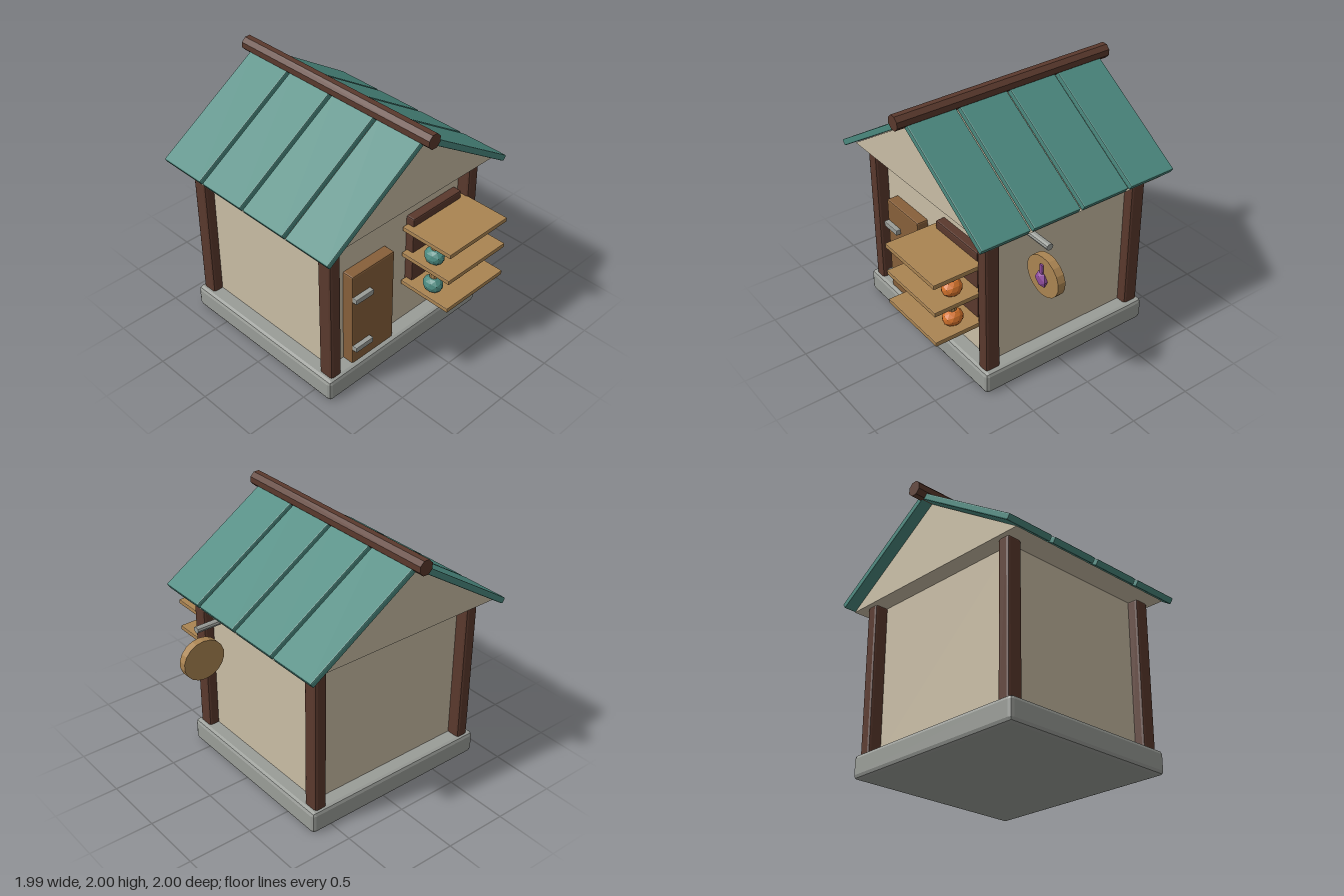
import * as THREE from 'three';
import { RoundedBoxGeometry } from 'three/addons/geometries/RoundedBoxGeometry.js';

const paint = (name, color) => {
  const m = new THREE.MeshStandardMaterial({ color, flatShading: true });
  m.name = name;
  return m;
};

export function createModel() {
  const house = new THREE.Group();
  house.name = 'potionShop';

  const plaster = paint('plaster', 0xc9bda5);
  const stone = paint('stoneGrey', 0x9a9d98);
  const darkWood = paint('darkWood', 0x5a392d);
  const doorWood = paint('doorWood', 0x87603a);
  const lightWood = paint('lightWood', 0xaa8452);
  const teal = paint('teal', 0x4b897f);
  const purple = paint('purple', 0x8d4b9b);
  const orange = paint('orange', 0xd5732c);

  const add = (name, geometry, material, x = 0, y = 0, z = 0, parent = house) => {
    const mesh = new THREE.Mesh(geometry, material);
    mesh.name = name;
    mesh.position.set(x, y, z);
    parent.add(mesh);
    return mesh;
  };
  // Chamfered box given by its limits on each axis
  const box = (name, material, [x0, x1], [y0, y1], [z0, z1], bevel = 0.008, parent = house) =>
    add(name, new RoundedBoxGeometry(x1 - x0, y1 - y0, z1 - z0, 1, bevel), material,
      (x0 + x1) / 2, (y0 + y1) / 2, (z0 + z1) / 2, parent);

  const cx = -0.11, cz = -0.075; // middle of the house

  // Foundation, walls and corner posts
  box('foundation', stone, [-0.9, 0.675], [0, 0.18], [-0.815, 0.67], 0.03);
  add('walls', new THREE.BoxGeometry(1.33, 1.17, 1.23), plaster, cx, 0.755, cz);
  for (const sx of [-1, 1]) for (const sz of [-1, 1]) {
    const x = cx + sx * 0.695, z = cz + sz * 0.655;
    box('cornerPost', darkWood, [x - 0.05, x + 0.05], [0.16, 1.34], [z - 0.062, z + 0.062], 0.02);
  }

  // Solid gable under the roof
  const triangle = new THREE.Shape([[-0.97, 1.33], [0.75, 1.33], [cx, 1.89]]
    .map(([x, y]) => new THREE.Vector2(x, y)));
  add('gable', new THREE.ExtrudeGeometry(triangle, { depth: 1.505, bevelEnabled: false }),
    plaster, 0, 0, -0.828);

  // Four roof panels on each slope, with narrow gaps
  const slope = Math.atan2(0.575, 0.89), length = 1.06;
  for (const side of [-1, 1]) {
    const roof = new THREE.Group();
    roof.name = side > 0 ? 'leftRoof' : 'rightRoof';
    roof.position.set(cx, 1.95, cz);
    roof.rotation.z = -side * slope;
    house.add(roof);
    for (let i = 0; i < 4; i++) {
      add('roofPanel', new RoundedBoxGeometry(length, 0.048, 0.402, 1, 0.009), teal,
        side * length / 2, -0.024, (i - 1.5) * 0.43, roof);
    }
  }
  const ridge = add('ridgePole', new THREE.CylinderGeometry(0.059, 0.059, 1.85, 8), darkWood, cx, 1.945, cz);
  ridge.rotation.set(Math.PI / 2, Math.PI / 8, 0);

  // Door with hinges
  box('door', doorWood, [-0.64, -0.225], [0.17, 0.98], [0.52, 0.632], 0.012);
  for (const y of [0.325, 0.777]) {
    box('hinge', stone, [-0.635, -0.465], [y - 0.022, y + 0.022], [0.61, 0.67], 0.006);
  }

  // Display board and shelves
  box('displayBoard', darkWood, [-0.01, 0.495], [0.495, 1.125], [0.52, 0.61], 0.012);
  for (const y of [0.552, 0.81, 1.043]) {
    box('shelf', lightWood, [-0.062, 0.547], [y - 0.018, y + 0.018], [0.55, 1], 0.006);
  }

  // Round bottles with wooden corks
  const bottleColours = [teal, purple, orange];
  for (const y of [0.632, 0.89]) bottleColours.forEach((colour, i) => {
    const bottle = new THREE.Group();
    bottle.name = 'bottle';
    bottle.position.set(0.022 + i * 0.21, y, 0.787);
    bottle.scale.z = 1.2;
    house.add(bottle);
    add('bottleBody', new THREE.IcosahedronGeometry(0.068, 1), colour, 0, 0, 0, bottle);
    add('cork', new THREE.CylinderGeometry(0.024, 0.024, 0.06, 8), lightWood, 0, 0.078, 0, bottle);
  });

  // Hanging sign: iron bar, wooden disc and bottle emblem
  const bar = add('signBar', new THREE.CylinderGeometry(0.024, 0.024, 0.32, 10), stone, 0.7, 1.245, 0.272);
  bar.rotation.z = Math.PI / 2;
  bar.scale.z = 1.2;
  const disc = add('signDisc', new THREE.CylinderGeometry(0.17, 0.17, 0.062, 18), lightWood, 0.825, 0.995, 0.271);
  disc.rotation.x = Math.PI / 2;
  disc.scale.z = 0.93;
  const emblem = new THREE.Group();
  emblem.name = 'signEmblem';
  emblem.position.set(0.825, 0.975, 0.312);
  emblem.scale.z = 0.42;
  house.add(emblem);
  add('emblemBody', new THREE.IcosahedronGeometry(0.064, 0), purple, 0, 0, 0, emblem);
  add('emblemNeck', new THREE.CylinderGeometry(0.019, 0.019, 0.09, 8), purple, 0, 0.078, 0, emblem);

  return house;
}
